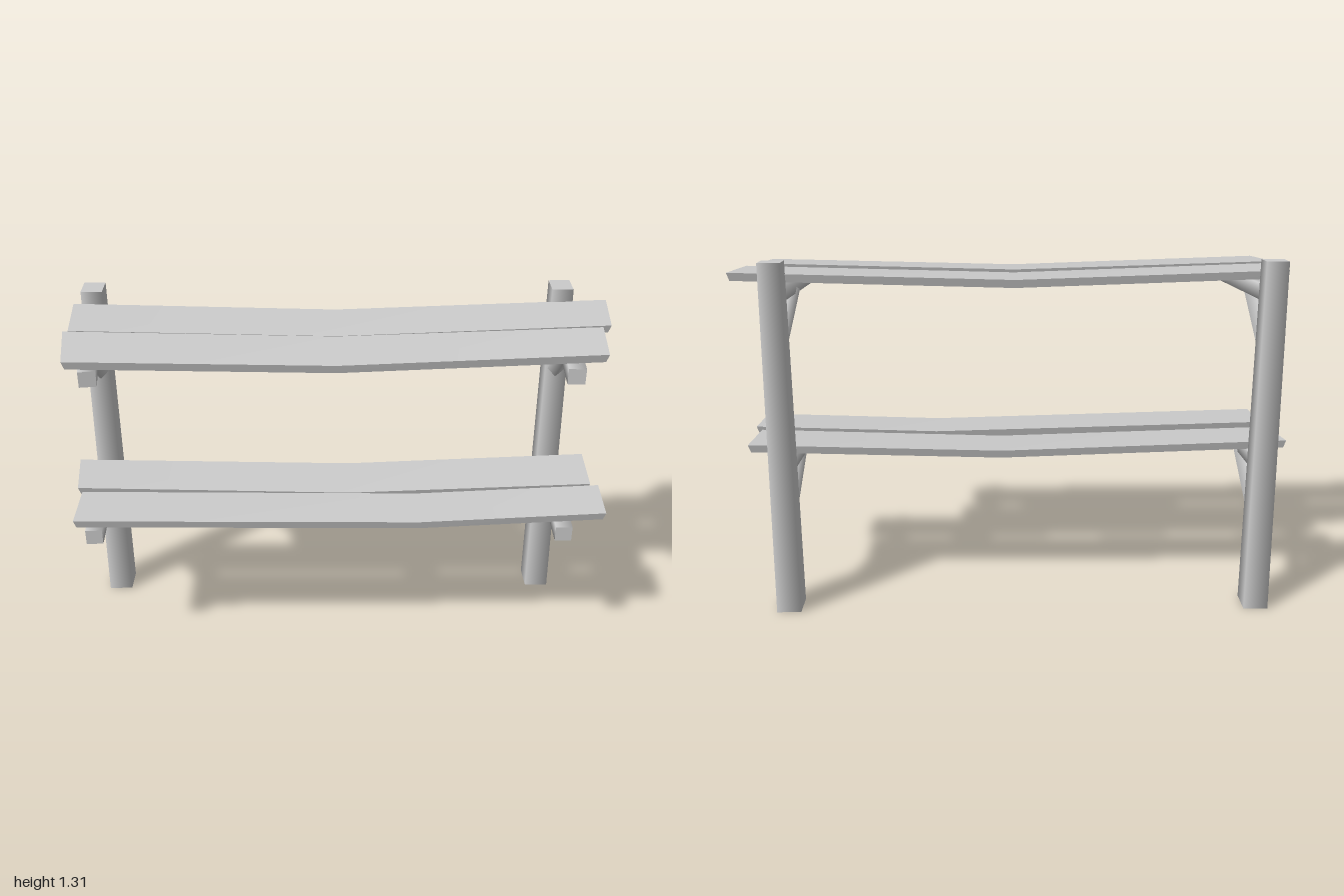
import * as THREE from 'three';

const grey = new THREE.MeshStandardMaterial({ color: 0xcccccc });
const V = (p) => new THREE.Vector3(...p);

// Four-sided softly shaded bar from a to b; diamond turns the section on edge
function bar(name, a, b, w, h, diamond = false) {
  const start = V(a), end = V(b);
  const geo = new THREE.CylinderGeometry(Math.SQRT1_2, Math.SQRT1_2, start.distanceTo(end), 4);
  if (!diamond) geo.rotateY(Math.PI / 4);
  geo.rotateX(Math.PI / 2).scale(w, h, 1);
  const mesh = new THREE.Mesh(geo, grey);
  mesh.name = name;
  mesh.position.copy(start).lerp(end, 0.5);
  mesh.lookAt(end);
  return mesh;
}

// Tapered square post
function post(name, xBottom, xTop) {
  const geo = new THREE.CylinderGeometry(Math.SQRT1_2, Math.SQRT1_2, 1, 4);
  geo.rotateY(Math.PI / 4).translate(0, 0.5, 0);
  const p = geo.attributes.position;
  for (let i = 0; i < p.count; i++) {
    const t = p.getY(i), x = p.getX(i), z = p.getZ(i);
    p.setXYZ(i,
      xBottom + (xTop - xBottom) * t + x * (0.09 - 0.012 * t),
      t * (1.307 - 0.006 * z),
      -0.233 + z * (0.108 - 0.022 * t));
  }
  geo.computeBoundingSphere();
  const mesh = new THREE.Mesh(geo, grey);
  mesh.name = name;
  return mesh;
}

// Sagging plank: outline corners [x, z] in plan, top heights at the ends, kink position and sag
function plank(name, { bl, fl, br, fr, yBack, yFront, kink, sag, thick = 0.03 }) {
  const geo = new THREE.BoxGeometry(1, 1, 1, 2, 1, 1);
  const p = geo.attributes.position;
  const mix = THREE.MathUtils.lerp;
  for (let i = 0; i < p.count; i++) {
    const u = p.getX(i), top = p.getY(i) > 0, v = p.getZ(i) + 0.5;
    const xl = mix(bl[0], fl[0], v), xr = mix(br[0], fr[0], v);
    const zl = mix(bl[1], fl[1], v), zr = mix(br[1], fr[1], v);
    const t = u < -0.1 ? 0 : u > 0.1 ? 1 : (kink - xl) / (xr - xl);
    const inset = top ? 0 : 0.008;
    const drop = Math.abs(u) < 0.1 ? sag : 0;
    p.setXYZ(i,
      mix(xl, xr, t) - Math.sign(u) * inset,
      mix(yBack, yFront, v) - drop - (top ? 0 : thick),
      mix(zl, zr, t) + (v < 0.5 ? inset : -inset));
  }
  geo.computeVertexNormals();
  geo.computeBoundingSphere();
  const mesh = new THREE.Mesh(geo, grey);
  mesh.name = name;
  return mesh;
}

export function createModel() {
  const group = new THREE.Group();
  group.name = 'plankShelf';

  group.add(post('rightPost', -0.9, -0.893), post('leftPost', 0.845, 0.837));

  // Arms and braces: [label, arm back x, arm front x, brace foot x, brace head x, height offset]
  const brackets = [
    ['upperRight', -0.91, -0.84, -0.893, -0.88, 0],
    ['upperLeft', 0.85, 0.81, 0.842, 0.82, 0],
    ['lowerRight', -0.9, -0.88, -0.895, -0.88, -0.625],
    ['lowerLeft', 0.84, 0.825, 0.842, 0.83, -0.625],
  ];
  for (const [label, xb, xf, footX, headX, dy] of brackets) {
    group.add(
      bar(label + 'Arm', [xb, 1.182 + dy, -0.22], [xf, 1.163 + dy, 0.275], 0.06, 0.057),
      bar(label + 'Brace', [footX, 0.965 + dy, -0.22], [headX, 1.157 + dy, 0.04], 0.045, 0.036, true),
    );
  }

  // Planks, two per shelf
  group.add(
    plank('upperBackPlank', {
      bl: [-0.96, -0.18], fl: [-0.94, 0.045], br: [1.0, -0.195], fr: [0.975, 0.02],
      yBack: 1.262, yFront: 1.246, kink: 0, sag: 0.03,
    }),
    plank('upperFrontPlank', {
      bl: [-0.955, 0.06], fl: [-0.92, 0.282], br: [0.94, 0.045], fr: [0.92, 0.245],
      yBack: 1.25, yFront: 1.23, kink: 0, sag: 0.027,
    }),
    plank('lowerBackPlank', {
      bl: [-1.0, -0.16], fl: [-0.975, 0.04], br: [0.975, -0.18], fr: [0.965, 0.035],
      yBack: 0.624, yFront: 0.61, kink: 0.05, sag: 0.03,
    }),
    plank('lowerFrontPlank', {
      bl: [-0.95, 0.08], fl: [-0.95, 0.275], br: [0.99, 0.055], fr: [0.98, 0.245],
      yBack: 0.616, yFront: 0.606, kink: 0.3, sag: 0.026,
    }),
  );
  return group;
}
